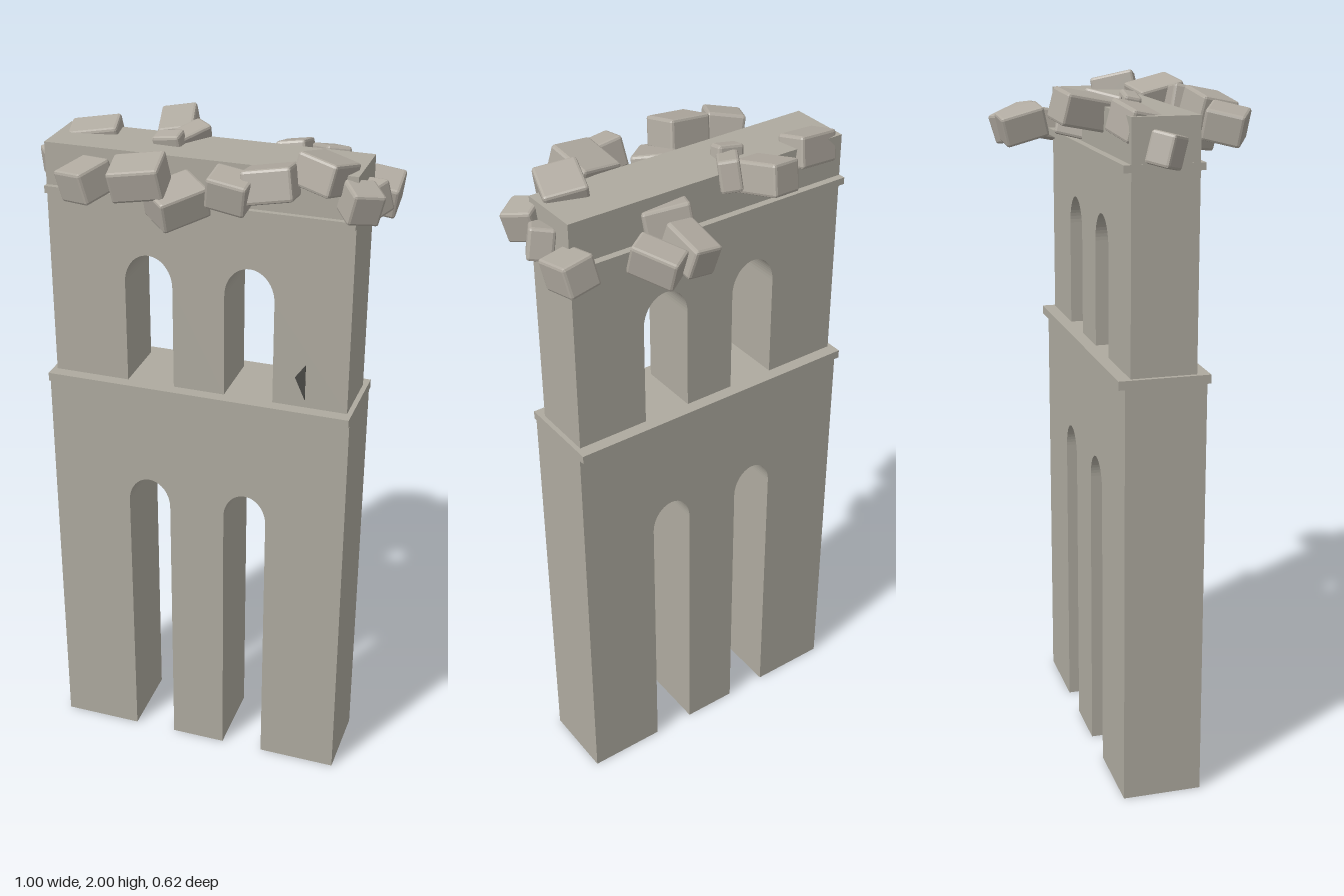
import * as THREE from 'three';
import { RoundedBoxGeometry } from 'three/addons/geometries/RoundedBoxGeometry.js';

const wallStone = new THREE.MeshStandardMaterial({ color: 0xaeaa9f });
wallStone.name = 'wallStone';
const rubbleStone = new THREE.MeshStandardMaterial({ color: 0xb0aaa0, flatShading: true });
rubbleStone.name = 'rubbleStone';
const darkCrack = new THREE.MeshStandardMaterial({ color: 0x4a4946 });
darkCrack.name = 'darkCrack';

// Wall outline with round-headed openings that reach down to its foot
function archedWall(name, x0, x1, y0, y1, z0, z1, arches, spring, crown) {
  const s = new THREE.Shape();
  s.moveTo(x0, y0);
  for (const [a, b] of arches) {
    s.lineTo(a, y0);
    s.lineTo(a, spring);
    s.absellipse((a + b) / 2, spring, (b - a) / 2, crown - spring, Math.PI, 0, true);
    s.lineTo(b, y0);
  }
  s.lineTo(x1, y0);
  s.lineTo(x1, y1);
  s.lineTo(x0, y1);
  s.closePath();
  const geo = new THREE.ExtrudeGeometry(s, { depth: z1 - z0, bevelEnabled: false, curveSegments: 14 });
  geo.translate(0, 0, z0);
  const mesh = new THREE.Mesh(geo, wallStone);
  mesh.name = name;
  return mesh;
}

// Box given by its limits
function slab(name, x0, x1, y0, y1, z0, z1) {
  const mesh = new THREE.Mesh(new THREE.BoxGeometry(x1 - x0, y1 - y0, z1 - z0), wallStone);
  mesh.position.set((x0 + x1) / 2, (y0 + y1) / 2, (z0 + z1) / 2);
  mesh.name = name;
  return mesh;
}

// Loose blocks: x, y, z, width, depth, yaw; each row shares one pitch
const ROWS = [
  { name: 'frontBlocks', pitch: 0.2, blocks: [
    [-0.28, 1.9, 0.23, 0.11, 0.11, -0.48],
    [-0.04, 1.86, 0.2, 0.12, 0.14, -0.78],
    [-0.13, 1.925, 0.23, 0.14, 0.11, 0.13],
    [0.12, 1.92, 0.235, 0.11, 0.09, -0.06],
  ] },
  { name: 'frontRightBlocks', pitch: -0.22, blocks: [
    [0.21, 1.93, 0.18, 0.13, 0.14, 0.12],
    [0.33, 1.94, 0.09, 0.12, 0.13, -0.3],
  ] },
  { name: 'endBlocks', pitch: 0.2, blocks: [
    [-0.455, 1.86, 0.01, 0.075, 0.075, 0.75],
    [0.43, 1.88, 0.11, 0.09, 0.09, 0.6],
    [0.44, 1.86, 0.02, 0.07, 0.08, -0.5],
    [0.44, 1.835, -0.115, 0.095, 0.12, 0.04],
  ] },
  { name: 'backBlocks', pitch: -0.25, blocks: [
    [0.16, 1.865, -0.235, 0.085, 0.13, 0.04],
    [0.26, 1.86, -0.235, 0.075, 0.13, 0.6],
  ] },
  { name: 'topBlocks', pitch: 0.2, blocks: [
    [-0.15, 1.935, -0.14, 0.1, 0.14, 0.25],
    [0.13, 1.87, -0.085, 0.13, 0.09, -0.4],
    [-0.36, 1.92, -0.05, 0.14, 0.09, 0.2],
    [-0.09, 1.93, -0.06, 0.06, 0.11, -0.6],
    [-0.125, 1.93, 0, 0.08, 0.05, -0.05],
  ] },
];

// One row of chamfered blocks, rolled alternately to either side
function blockRow({ name, pitch, blocks }) {
  const row = new THREE.Group();
  row.name = name;
  blocks.forEach(([x, y, z, w, d, yaw], i) => {
    const block = new THREE.Mesh(new RoundedBoxGeometry(w, 0.088, d, 1, 0.008), rubbleStone);
    block.position.set(x, y, z);
    block.rotation.set(pitch, yaw, i % 2 ? -0.15 : 0.15, 'YXZ');
    block.name = 'looseBlock';
    row.add(block);
  });
  return row;
}

export function createModel() {
  const model = new THREE.Group();
  model.name = 'ruinedBellWall';

  // Lower storey with its ledge
  model.add(
    archedWall('lowerWall', -0.465, 0.434, 0, 1.235, -0.102, 0.128,
      [[-0.227, -0.098], [0.069, 0.198]], 0.865, 0.948),
    slab('lowerLedge', -0.465, 0.434, 1.235, 1.26, -0.12, 0.139),
  );

  // Upper storey and cornice band
  model.add(
    archedWall('upperWall', -0.452, 0.42, 1.26, 1.945, -0.083, 0.103,
      [[-0.23, -0.09], [0.061, 0.204]], 1.565, 1.653),
    slab('cornice', -0.453, 0.421, 1.805, 1.825, -0.104, 0.118),
  );

  // Small chipped gap beside the right window
  const chip = new THREE.Shape([
    new THREE.Vector2(0.268, 1.35), new THREE.Vector2(0.298, 1.283), new THREE.Vector2(0.298, 1.392),
  ]);
  const crack = new THREE.Mesh(
    new THREE.ExtrudeGeometry(chip, { depth: 0.003, bevelEnabled: false }), darkCrack);
  crack.position.z = 0.102;
  crack.name = 'chippedGap';
  model.add(crack);

  // Fallen blocks around the parapet
  model.add(...ROWS.map(blockRow));
  return model;
}
